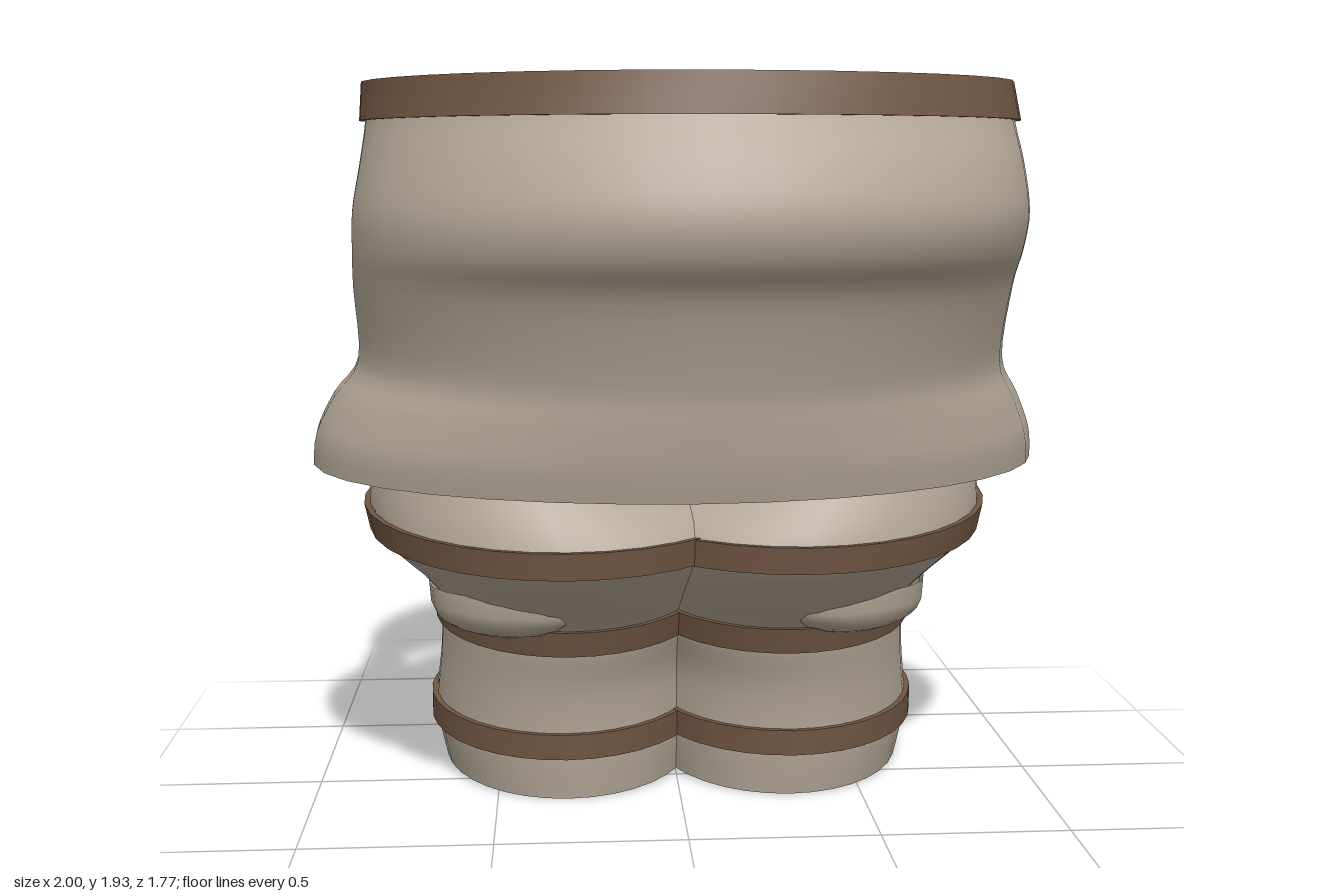
import * as THREE from 'three';
import { toCreasedNormals } from 'three/addons/utils/BufferGeometryUtils.js';

const SIDES = 36;
const lerp = THREE.MathUtils.lerp;

// Each ring is [front y, back y, min x, max x, front z, back z, ...fullness]: a tilted
// ellipse. The four fullness powers (front left, front right, back left, back right)
// slim a quarter of the ring when above 1 and fill it out when below 1.
const grow = ([yf, yb, x0, x1, zf, zb, ...full], d) => [yf, yb, x0 - d, x1 + d, zf + d, zb - d, ...full];

function loft(rings, from = 0, to = SIDES) {
  const pos = [], index = [];
  rings.forEach(([yf, yb, x0, x1, zf, zb, ...full], i) => {
    for (let j = 0; j < SIDES; j++) {
      const a = (j / SIDES) * Math.PI * 2, c = Math.cos(a), s = Math.sin(a);
      const power = full[(s < 0 ? 2 : 0) + (c < 0 ? 1 : 0)] ?? 1;
      const depth = Math.sign(s) * Math.abs(s) ** power;
      pos.push(lerp(x0, x1, (c + 1) / 2), lerp(yb, yf, (s + 1) / 2), lerp(zb, zf, (depth + 1) / 2));
      if (i < rings.length - 1 && j >= from && j < to) {
        const p = i * SIDES + j, q = i * SIDES + ((j + 1) % SIDES);
        index.push(p, p + SIDES, q, q, p + SIDES, q + SIDES);
      }
    }
  });
  const g = new THREE.BufferGeometry();
  g.setAttribute('position', new THREE.Float32BufferAttribute(pos, 3));
  g.setIndex(index);
  g.computeVertexNormals();
  return g;
}

// Smoothly subdivide the rings along the tube
function smooth(rings, steps = 4) {
  const at = (i) => rings[Math.max(0, Math.min(rings.length - 1, i))];
  const out = [];
  for (let i = 0; i < rings.length - 1; i++) {
    for (let k = 0; k < steps; k++) {
      const t = k / steps;
      out.push(rings[i].map((p1, n) => {
        const p0 = at(i - 1)[n], p2 = at(i + 1)[n], p3 = at(i + 2)[n];
        return 0.5 * (2 * p1 + (p2 - p0) * t + (2 * p0 - 5 * p1 + 4 * p2 - p3) * t * t
          + (3 * p1 - p0 - 3 * p2 + p3) * t * t * t);
      }));
    }
  }
  out.push(rings[rings.length - 1]);
  return out;
}

// Raised trim between two rings, with thin upper and lower edges
function trim(a, b, d = 0.016) {
  return toCreasedNormals(loft([a, grow(a, d), grow(b, d), b]), 0.7);
}

const TORSO = [
  [0.915, 0.915, -1.0, 1.0, 0.69, -0.88, 1.05, 0.92, 1.15, 1.25],
  [1.0, 1.0, -0.99, 0.99, 0.71, -0.87, 1.05, 0.95, 1.15, 1.25],
  [1.1, 1.1, -0.94, 0.95, 0.725, -0.865, 1.05, 1, 1.1, 1.15],
  [1.2, 1.2, -0.87, 0.9, 0.74, -0.855, 1, 1, 1, 1.05],
  [1.4, 1.4, -0.87, 0.9, 0.8, -0.77, 0.9, 1, 0.8, 0.92],
  [1.5, 1.5, -0.865, 0.905, 0.87, -0.725, 0.83, 1.05, 0.75, 0.87],
  [1.6, 1.6, -0.86, 0.91, 0.89, -0.7, 0.8, 1.1, 0.75, 0.85],
  [1.72, 1.72, -0.84, 0.9, 0.85, -0.7, 0.82, 1.13, 0.88, 0.87],
  [1.83, 1.83, -0.825, 0.885, 0.79, -0.695, 0.88, 1.16, 1.08, 0.95],
  [1.93, 1.93, -0.82, 0.87, 0.745, -0.69, 0.88, 1.16, 1.15, 0.95],
];

// Left leg from ankle to thigh; the inner sides overlap across the middle
const LEG = [
  [0.0, 0.05, -0.05, 0.66, 0.18, -0.63],
  [0.12, 0.17, -0.065, 0.685, 0.195, -0.64],
  [0.19, 0.24, -0.065, 0.685, 0.195, -0.64],
  [0.31, 0.37, -0.05, 0.67, 0.21, -0.595],
  [0.42, 0.49, -0.07, 0.665, 0.24, -0.6],
  [0.49, 0.56, -0.08, 0.67, 0.255, -0.615],
  [0.58, 0.67, -0.17, 0.73, 0.38, -0.63],
  [0.7, 0.79, -0.23, 0.83, 0.545, -0.63],
  [0.77, 0.86, -0.24, 0.845, 0.55, -0.63],
  [0.88, 0.96, -0.1, 0.84, 0.49, -0.63],
  [0.95, 1.0, 0.03, 0.82, 0.44, -0.61],
];
const LEG_TRIMS = { ankleTrim: 1, kneeTrim: 4, thighTrim: 7 };

// Fold inside the back of the thigh, sloping in behind the knee
const BACK_FOLD = [
  [0.5, 0.55, 0.03, 0.66, 0.235, -0.46],
  [0.59, 0.66, -0.08, 0.72, 0.36, -0.55],
  [0.7, 0.79, -0.22, 0.82, 0.53, -0.62],
];

const mirrorX = ([yf, yb, x0, x1, ...rest]) => [yf, yb, -x1, -x0, ...rest];
// The left thigh sits a little further back than the right
const setBack = ([yf, yb, x0, x1, zf, zb]) => [yf, yb, x0, x1, zf > 0.4 ? zf - 0.03 : zf, zb];

// Open bowl inside the knee: flat at the back, leaning inwards at the front
function kneeBowl(side) {
  const g = new THREE.SphereGeometry(1, 24, 8, 0, Math.PI * 2, Math.PI / 2, Math.PI / 2);
  const p = g.attributes.position;
  for (let i = 0; i < p.count; i++) {
    const x = p.getX(i), z = p.getZ(i);
    p.setX(i, z < 0 ? x * (1 + 0.9 * z * z) : x - side * 0.5 * z * z);
    p.setY(i, -(Math.max(0, -p.getY(i)) ** 0.6));
  }
  g.scale(0.205, 0.14, 0.245);
  g.computeVertexNormals();
  return g;
}

export function createModel() {
  const cloth = new THREE.MeshStandardMaterial({ color: 0xb3a797, side: THREE.DoubleSide });
  cloth.name = 'tan cloth';
  const leather = new THREE.MeshStandardMaterial({ color: 0x6e5441, side: THREE.DoubleSide });
  leather.name = 'brown trim';

  const model = new THREE.Group();
  model.name = 'garment';
  const add = (parent, name, geometry, material) => {
    const m = new THREE.Mesh(geometry, material);
    m.name = name;
    parent.add(m);
    return m;
  };

  // Wide open tunic with a trimmed upper edge
  add(model, 'tunic', loft(smooth(TORSO)), cloth);
  add(model, 'collarTrim', trim(TORSO[8], TORSO[9]), leather);

  // Paired trouser legs
  for (const side of [1, -1]) {
    const leg = new THREE.Group();
    leg.name = side > 0 ? 'leftLeg' : 'rightLeg';
    const place = side > 0 ? setBack : mirrorX;
    const rings = LEG.map(place);
    add(leg, 'trouserLeg', loft(smooth(rings)), cloth);
    add(leg, 'backFold', loft(smooth(BACK_FOLD.map(place)), SIDES / 2), cloth);
    for (const [name, i] of Object.entries(LEG_TRIMS)) {
      add(leg, name, trim(rings[i], rings[i + 1]), leather);
    }
    add(leg, 'kneeFold', kneeBowl(side), cloth).position.set(side * 0.475, 0.595, 0.095);
    model.add(leg);
  }
  return model;
}
